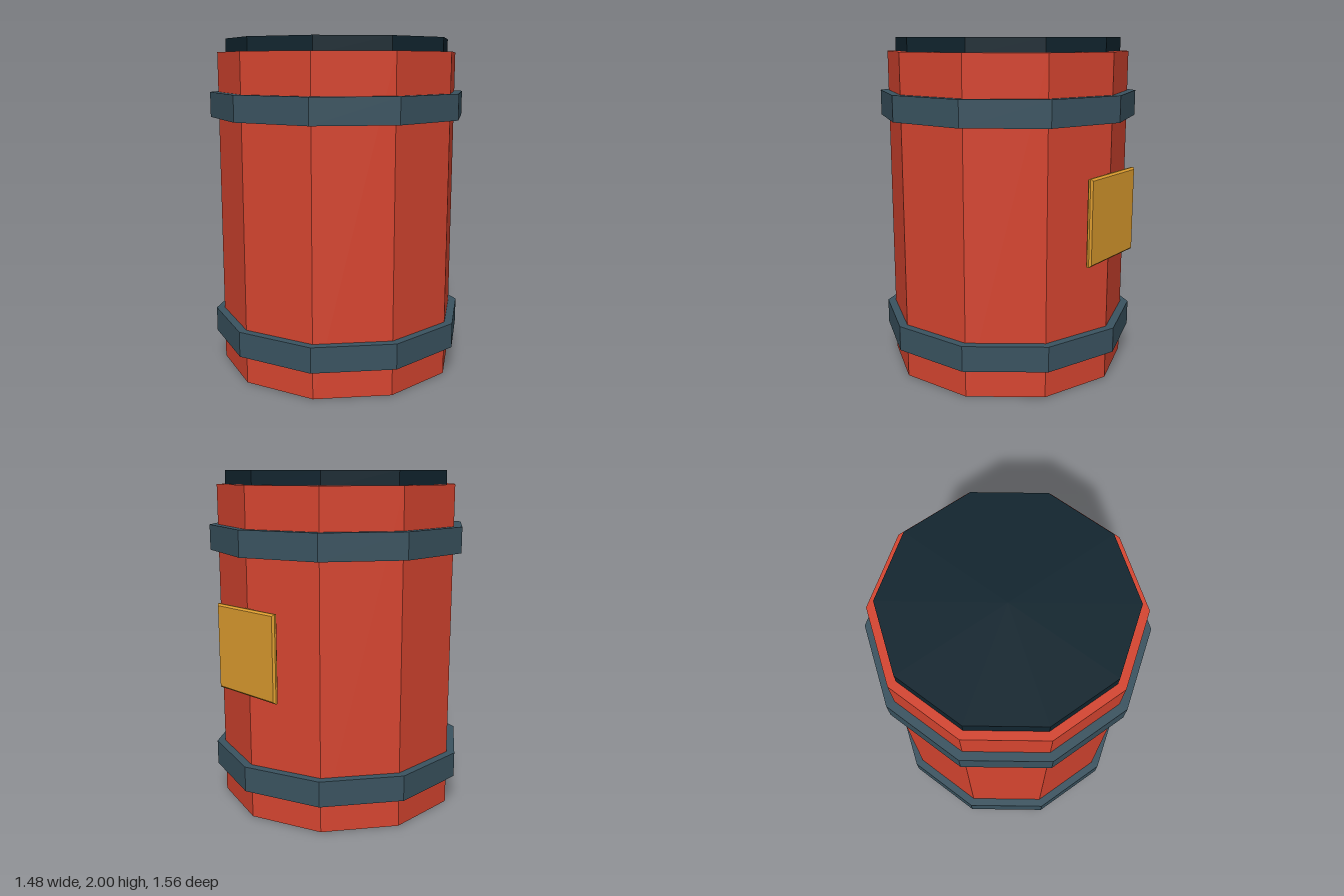
import * as THREE from 'three';

const SIDES = 10;

function material(name, color) {
  const m = new THREE.MeshStandardMaterial({ color, flatShading: true });
  m.name = name;
  return m;
}

export function createModel() {
  const group = new THREE.Group();
  group.name = 'barrel';
  const red = material('red paint', 0xd64530);
  const steel = material('blue grey steel', 0x3a5360);
  const dark = material('dark lid', 0x11252f);
  const gold = material('gold plate', 0xdc9c2e);

  // Ten-sided drum section, one corner pointing to the front
  const drum = (name, radius, bottom, top, mat) => {
    const mesh = new THREE.Mesh(new THREE.CylinderGeometry(radius, radius, top - bottom, SIDES), mat);
    mesh.position.y = (bottom + top) / 2;
    mesh.name = name;
    group.add(mesh);
  };
  drum('body', 0.73, 0, 1.92, red);
  drum('lowerBand', 0.78, 0.175, 0.325, steel);
  drum('upperBand', 0.78, 1.535, 1.685, steel);
  drum('lid', 0.68, 1.9, 2, dark);

  // Chamfered plate on the back
  const bevel = 0.011, half = 0.245 - bevel, halfY = 0.25 - bevel;
  const outline = new THREE.Shape([
    new THREE.Vector2(-half, -halfY), new THREE.Vector2(half, -halfY),
    new THREE.Vector2(half, halfY), new THREE.Vector2(-half, halfY),
  ]);
  const plate = new THREE.Mesh(new THREE.ExtrudeGeometry(outline, {
    depth: 0.011, bevelEnabled: true, bevelThickness: bevel, bevelSize: bevel, bevelSegments: 1,
  }), gold);
  plate.position.set(0, 1, -0.746);
  plate.name = 'backPlate';
  group.add(plate);

  return group;
}
